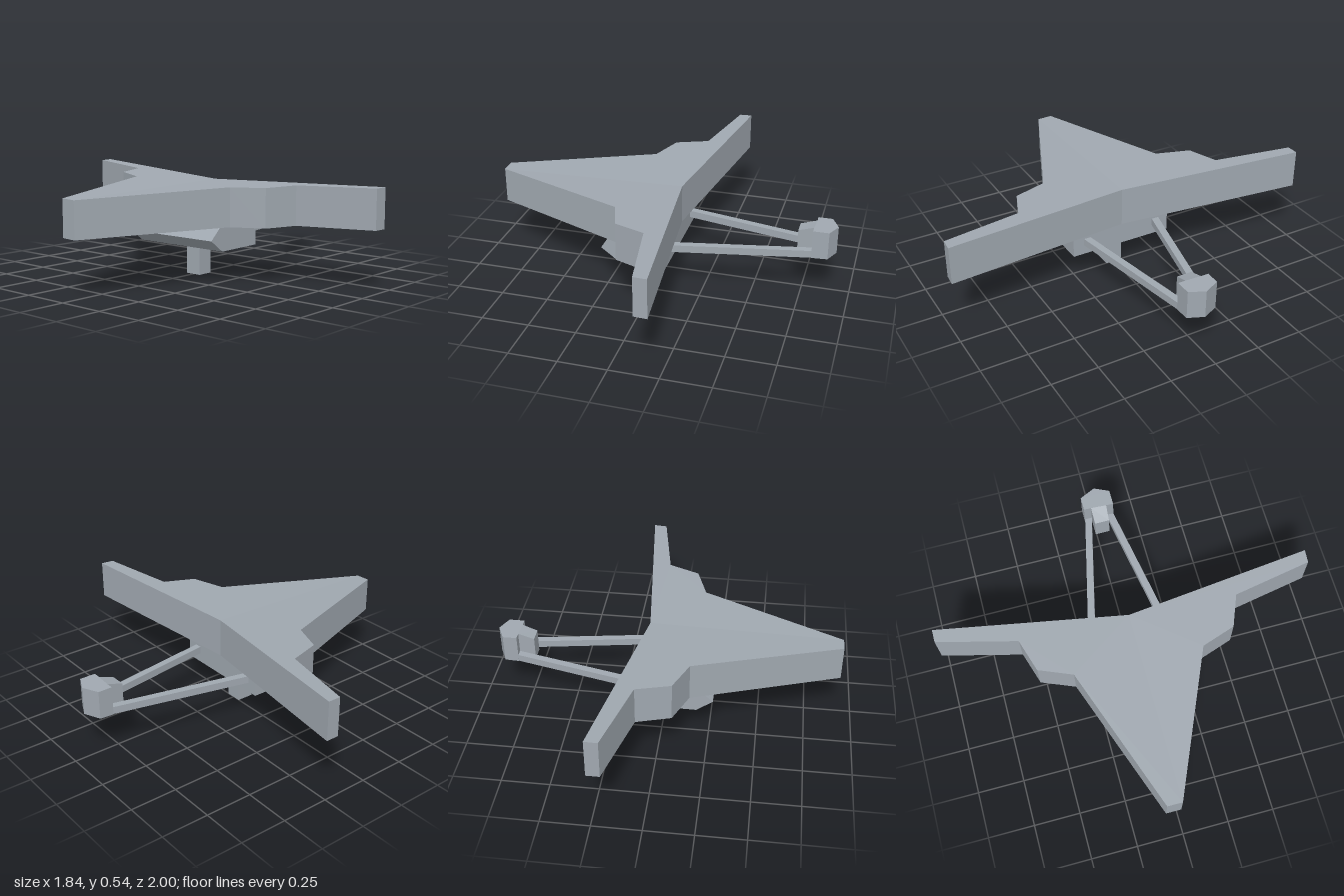
import * as THREE from 'three';

const hull = new THREE.MeshStandardMaterial({ color: 0xa0a8b0 });
hull.name = 'hull grey';

// Vertical prism over an (x, z) outline, with bottom and top heights given by rules
function prism(name, outline, bottom, top) {
  const shape = new THREE.Shape(outline.map(([x, z]) => new THREE.Vector2(x, -z)));
  const geo = new THREE.ExtrudeGeometry(shape, { depth: 1, bevelEnabled: false });
  geo.rotateX(-Math.PI / 2);
  const p = geo.attributes.position;
  for (let i = 0; i < p.count; i++) {
    const rule = p.getY(i) > 0.5 ? top : bottom;
    p.setY(i, rule(p.getX(i), p.getZ(i)));
  }
  geo.computeVertexNormals();
  const mesh = new THREE.Mesh(geo, hull);
  mesh.name = name;
  return mesh;
}

export function createModel() {
  const model = new THREE.Group();
  model.name = 'ship';

  // Wing halves meet on z = 0 and rise slightly towards the tips
  const wingBottom = (rise) => (x, z) => 0.29 + 0.005 * (x - 0.09) + rise * Math.abs(z);
  const wingTop = (rise) => (x, z) => 0.498 + 0.023 * (x - 0.09) + rise * Math.abs(z);
  model.add(prism('frontWing', [
    [0.09, 0], [-0.92, 0], [-0.175, 0.325], [-0.115, 0.505],
    [0.05, 0.57], [0.125, 0.99], [0.195, 0.995],
  ], wingBottom(0.02), wingTop(0.016)));
  model.add(prism('backWing', [
    [0.09, 0], [-0.92, 0], [-0.92, -0.08], [-0.155, -0.355], [-0.085, -0.53],
    [0.09, -0.585], [0.19, -1], [0.258, -1],
  ], wingBottom(0.04), wingTop(0.037)));

  // Wedge-nosed pod under the wing
  const profile = new THREE.Shape([
    [-0.27, 0.23], [-0.185, 0.167], [0.085, 0.17], [0.085, 0.295], [-0.2, 0.295],
  ].map(([x, y]) => new THREE.Vector2(x, y)));
  const podGeo = new THREE.ExtrudeGeometry(profile, { depth: 0.57, bevelEnabled: false });
  podGeo.translate(0, 0, -0.285);
  const pod = new THREE.Mesh(podGeo, hull);
  pod.name = 'pod';
  model.add(pod);

  // Post below the pod
  const post = new THREE.Mesh(new THREE.BoxGeometry(0.09, 0.17, 0.09), hull);
  post.name = 'post';
  post.position.set(-0.043, 0.085, 0);
  model.add(post);

  // Two booms converging on the cabin
  const boomBottom = (x) => 0.222 + 0.01 * x;
  const boomTop = (x) => 0.261 + 0.01 * x;
  model.add(prism('backBoom', [
    [0.06, -0.235], [0.82, -0.06], [0.82, -0.022], [0.06, -0.195],
  ], boomBottom, boomTop));
  model.add(prism('frontBoom', [
    [0.06, 0.19], [0.82, 0.057], [0.82, 0.096], [0.06, 0.228],
  ], boomBottom, boomTop));

  // Cabin with a narrow, sloping neck
  model.add(prism('cabin', [
    [0.72, -0.025], [0.805, -0.025], [0.805, -0.065], [0.88, -0.065], [0.92, 0.02],
    [0.883, 0.1], [0.8, 0.1], [0.8, 0.06], [0.72, 0.055],
  ], (x) => 0.225 + 0.05 * (x - 0.72), (x) => 0.355 + 0.35 * Math.min(x - 0.72, 0.08)));

  return model;
}
